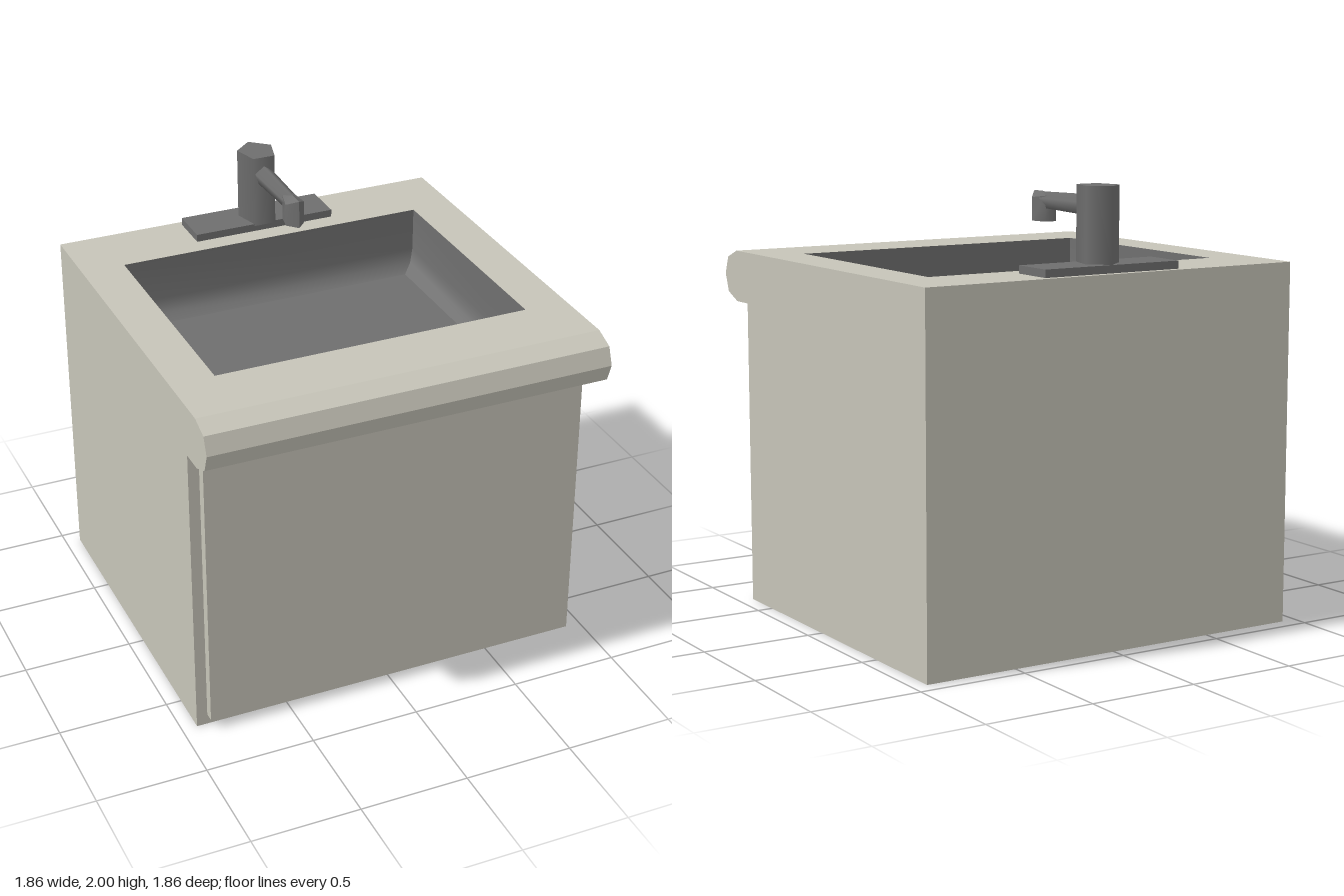
import * as THREE from 'three';

const stone = new THREE.MeshStandardMaterial({ color: 0xc6c4b8 });
stone.name = 'warm grey cabinet';
const metal = new THREE.MeshStandardMaterial({ color: 0x6e6e6e });
metal.name = 'dark grey metal';

const W = 0.93, TOP = 1.635, FRONT = 0.7, SPLIT = 1.3;
const BASIN = { x: 0.73, back: -0.61, front: 0.515 };

function add(parent, name, geometry, material) {
  const mesh = new THREE.Mesh(geometry, material);
  mesh.name = name;
  parent.add(mesh);
  return mesh;
}

// Box given by its limits on each axis
function boxBetween(x0, x1, y0, y1, z0, z1) {
  return new THREE.BoxGeometry(x1 - x0, y1 - y0, z1 - z0)
    .translate((x0 + x1) / 2, (y0 + y1) / 2, (z0 + z1) / 2);
}

// Corners in plan, counter-clockwise seen from above
function corners(x, back, front) {
  return [[-x, front], [x, front], [x, back], [-x, back]];
}

// Upper cabinet block with the basin opening cut through it
function rimGeometry() {
  const plan = (pts) => pts.map(([x, z]) => new THREE.Vector2(x, -z));
  const shape = new THREE.Shape(plan(corners(W, -W, FRONT)));
  shape.holes.push(new THREE.Path(plan(corners(BASIN.x, BASIN.back, BASIN.front))));
  return new THREE.ExtrudeGeometry(shape, { depth: TOP - SPLIT, bevelEnabled: false })
    .rotateX(-Math.PI / 2).translate(0, SPLIT, 0);
}

// Faceted overhanging front edge, extruded along x
function nosingGeometry() {
  const profile = [[FRONT, 1.4], [0.81, 1.4], [0.9, 1.438], [W, 1.52], [0.9, 1.6], [0.81, TOP], [FRONT, TOP]];
  const shape = new THREE.Shape(profile.map(([z, y]) => new THREE.Vector2(z, y)));
  return new THREE.ExtrudeGeometry(shape, { depth: 2 * W, bevelEnabled: false })
    .rotateY(-Math.PI / 2).translate(W, 0, 0);
}

// Basin walls curve into the floor; corners between walls stay sharp
function basinGeometry() {
  const profile = [[0.001, TOP], [0.004, 1.43], [0.025, 1.37], [0.075, 1.34]];
  const rings = profile.map(([inset, y]) =>
    corners(BASIN.x - inset, BASIN.back + inset, BASIN.front - inset).map(([x, z]) => [x, y, z]));
  const positions = [], index = [];
  for (let side = 0; side < 4; side++) {
    const start = positions.length / 3;
    rings.forEach((ring) => positions.push(...ring[side], ...ring[(side + 1) % 4]));
    for (let i = 0; i < rings.length - 1; i++) {
      const a = start + i * 2;
      index.push(a, a + 1, a + 2, a + 1, a + 3, a + 2);
    }
  }
  const f = positions.length / 3;
  rings[rings.length - 1].forEach((p) => positions.push(...p));
  index.push(f, f + 1, f + 2, f, f + 2, f + 3);
  const geometry = new THREE.BufferGeometry();
  geometry.setAttribute('position', new THREE.Float32BufferAttribute(positions, 3));
  geometry.setIndex(index);
  geometry.computeVertexNormals();
  return geometry;
}

// Five-sided smooth prism; start turns its pointed edge
function prism(rTop, rBottom, height, start) {
  return new THREE.CylinderGeometry(rTop, rBottom, height, 5, 1, false, start);
}

export function createModel() {
  const model = new THREE.Group();
  model.name = 'washbasinCabinet';

  // Cabinet
  const cabinet = new THREE.Group();
  cabinet.name = 'cabinet';
  model.add(cabinet);
  add(cabinet, 'cabinetBody', boxBetween(-W, W, 0, SPLIT, -W, FRONT), stone);
  add(cabinet, 'counterRim', rimGeometry(), stone);
  add(cabinet, 'counterNosing', nosingGeometry(), stone);
  add(cabinet, 'frontPanel', boxBetween(-0.88, 0.88, 0.05, 1.35, FRONT, 0.745), stone);

  // Basin
  add(model, 'basin', basinGeometry(), metal);

  // Tap
  const tap = new THREE.Group();
  tap.name = 'tap';
  model.add(tap);
  add(tap, 'tapPlate', boxBetween(-0.34, 0.34, TOP, 1.67, -0.9, -0.7), metal);
  add(tap, 'tapPost', prism(0.108, 0.108, 0.34, Math.PI)
    .scale(0.83, 1, 1).translate(0, 1.83, -0.787), metal);
  add(tap, 'spoutArm', prism(0.038, 0.048, 0.36, Math.PI)
    .rotateX(Math.PI / 2).translate(0, 1.908, -0.55), metal);

  // Spout tip, pointed forward, its top sloping down to both sides
  const tip = prism(0.072, 0.072, 0.13, 0).scale(0.66, 1, 1);
  const p = tip.attributes.position;
  for (let i = 0; i < p.count; i++) {
    if (p.getY(i) > 0) p.setY(i, p.getY(i) - Math.abs(p.getX(i)) * 0.6);
  }
  tip.computeVertexNormals();
  add(tap, 'spoutTip', tip.translate(0, 1.883, -0.362), metal);

  return model;
}
